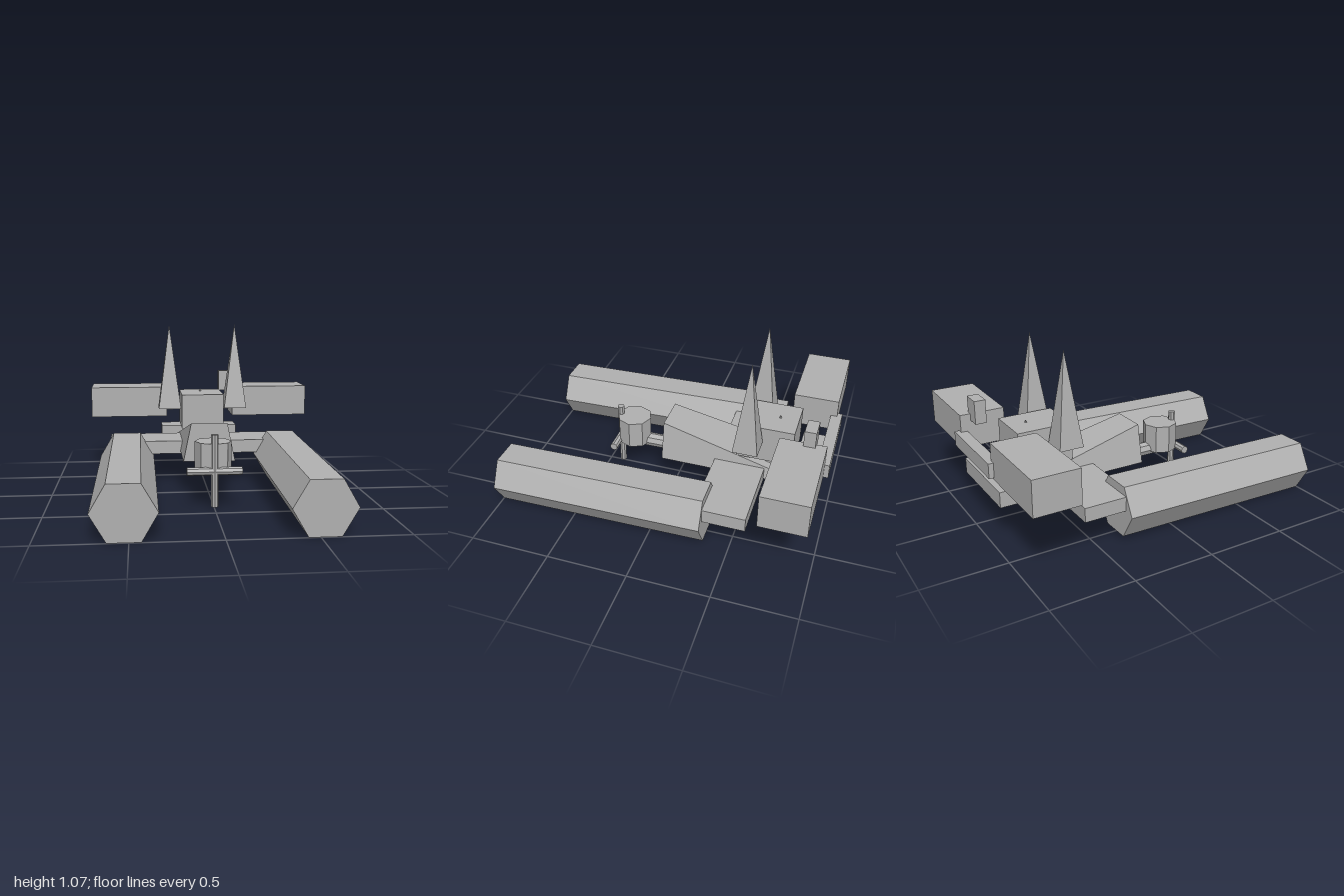
import * as THREE from 'three';

export function createModel() {
  const model = new THREE.Group();
  const grey = new THREE.MeshStandardMaterial({ color: 0xb0b0b0 });
  grey.name = 'plain grey';

  // Adds a faceted mesh with hard edges
  function add(name, geometry, x = 0, y = 0, z = 0) {
    const geo = geometry.index ? geometry.toNonIndexed() : geometry;
    geo.computeVertexNormals();
    const mesh = new THREE.Mesh(geo, grey);
    mesh.name = name;
    mesh.position.set(x, y, z);
    model.add(mesh);
    return mesh;
  }

  // Box given by its limits on each axis
  function box(name, x0, x1, y0, y1, z0, z1) {
    return add(name, new THREE.BoxGeometry(x1 - x0, y1 - y0, z1 - z0),
      (x0 + x1) / 2, (y0 + y1) / 2, (z0 + z1) / 2);
  }

  // Parts that come in pairs
  for (const s of [1, -1]) {
    const side = s > 0 ? 'left' : 'right';

    // Six-sided pontoon, its nose dipping slightly
    const pontoon = new THREE.CylinderGeometry(0.18, 0.18, 1.34, 6);
    pontoon.rotateY(Math.PI / 6).rotateX(Math.PI / 2);
    add(side + 'Pontoon', pontoon, s * 0.525, 0.172, 0.33).rotation.x = 0.0187;

    // Square spire beside the cabin
    const spire = new THREE.ConeGeometry(0.077 * Math.SQRT2, 0.58, 4);
    spire.rotateY(Math.PI / 4);
    add(side + 'Spire', spire, s * 0.228, 0.78, -0.5);

    // Rear box
    const inner = s * 0.24, outer = s * 0.783;
    box(side + 'RearBox', Math.min(inner, outer), Math.max(inner, outer), 0.4, 0.613, -0.97, -0.69);
  }

  // Cross pieces
  box('pontoonPlank', -0.64, 0.64, 0.203, 0.29, -0.6, -0.28);
  box('tailBlock', -0.275, 0.275, 0.22, 0.316, -0.945, -0.772);
  box('rearBar', -0.275, 0.275, 0.415, 0.505, -1.0, -0.93);

  // Wedge hull: sides lean in with height, top slopes down to the back
  const hull = new THREE.BoxGeometry(1, 1, 1);
  const p = hull.attributes.position;
  for (let i = 0; i < p.count; i++) {
    const front = p.getZ(i) > 0;
    const y = p.getY(i) < 0 ? 0.22 : front ? 0.465 : 0.26;
    const halfWidth = 0.165 - (y - 0.22) * 0.204;
    p.setXYZ(i, Math.sign(p.getX(i)) * halfWidth, y, front ? 0.07 : -0.775);
  }
  add('hull', hull);

  // Cabin on a flared neck
  box('cabin', -0.145, 0.145, 0.35, 0.587, -0.765, -0.418);
  const neck = new THREE.CylinderGeometry(0.075 * Math.SQRT2, 0.11 * Math.SQRT2, 0.11, 4);
  neck.rotateY(Math.PI / 4);
  add('cabinNeck', neck, 0, 0.297, -0.655);
  add('roofPin', new THREE.ConeGeometry(0.008, 0.02, 6), 0, 0.596, -0.65);
  box('sideChimney', 0.155, 0.277, 0.57, 0.716, -0.905, -0.835);

  // Front drum on a shaft, with crossed rods
  add('drum', new THREE.CylinderGeometry(0.112, 0.112, 0.18, 8), 0, 0.307, 0.313);
  add('drumShaft', new THREE.CylinderGeometry(0.045, 0.045, 0.32, 8).rotateX(Math.PI / 2), 0, 0.227, 0.17);
  add('uprightRod', new THREE.CylinderGeometry(0.022, 0.022, 0.435, 8), 0, 0.235, 0.408);
  add('crossRod', new THREE.CylinderGeometry(0.025, 0.025, 0.33, 8).rotateZ(Math.PI / 2), 0, 0.232, 0.405);

  return model;
}
